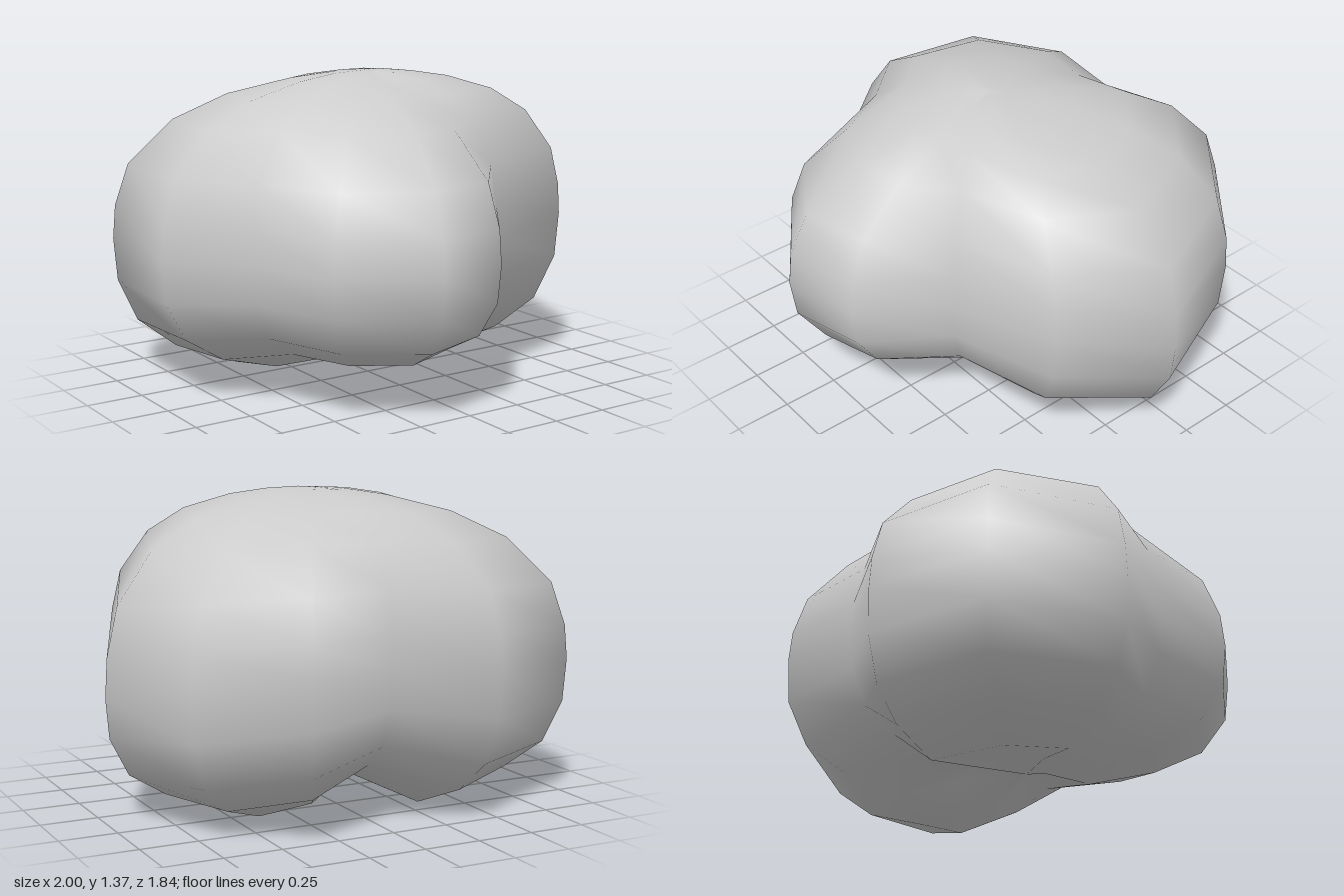
import * as THREE from 'three';

// Meridians round the body:
// outline x, outline z, height of widest point, underside height, top taper, underside taper
const MERIDIANS = [
  [1.0, -0.13, 0.53, 0.02, 1, 1],
  [0.8, 0.36, 0.7, 0.1, 0.85, 1.25],
  [0.33, 0.5, 0.66, 0.16, 0.9, 1.2],
  [0.08, 0.84, 0.64, 0.15, 1.65, 1.5],
  [-0.26, 0.92, 0.64, 0.125, 1.8, 1.5],
  [-0.61, 0.68, 0.64, 0.13, 1.5, 1.4],
  [-0.74, 0.28, 0.63, 0.14, 1.05, 1.2],
  [-1.0, -0.02, 0.62, 0.1, 1, 1],
  [-0.95, -0.6, 0.62, 0.05, 1.12, 0.85],
  [-0.43, -0.87, 0.65, 0.04, 1.07, 0.7],
  [0.03, -0.78, 0.68, 0.17, 1, 1],
  [0.45, -0.92, 0.69, 0.07, 1.08, 1],
  [0.82, -0.61, 0.62, 0, 1.07, 1],
];
// Rings as [fraction of outline radius, fraction of height from the widest ring]
const UPPER = [[0.17, 0.985], [0.34, 0.95], [0.58, 0.86], [0.78, 0.71], [0.94, 0.45], [0.99, 0.2]];
const LOWER = [[1, 0], [0.985, 0.33], [0.9, 0.65], [0.73, 0.86], [0.47, 1], [0.24, 0.93]];
const TOP = 1.365, DIMPLE = 0.16;

function lobedBody() {
  const n = MERIDIANS.length;
  const positions = [0.06, TOP, 0];
  for (const [f, h] of UPPER) {
    for (const [x, z, waist, , taper] of MERIDIANS) {
      const s = Math.pow(f, taper);
      positions.push(x * s, waist + (TOP - waist) * h, z * s);
    }
  }
  for (const [f, d] of LOWER) {
    for (const [x, z, waist, low, , taper] of MERIDIANS) {
      const s = Math.pow(f, taper);
      positions.push(x * s, waist - (waist - low) * d, z * s);
    }
  }
  positions.push(0.01, DIMPLE, 0.04);

  const rings = UPPER.length + LOWER.length;
  const last = 1 + rings * n;
  const at = (r, i) => 1 + r * n + (i % n);
  const index = [];
  for (let i = 0; i < n; i++) {
    index.push(0, at(0, i + 1), at(0, i));
    for (let r = 0; r < rings - 1; r++) {
      index.push(at(r, i), at(r, i + 1), at(r + 1, i));
      index.push(at(r, i + 1), at(r + 1, i + 1), at(r + 1, i));
    }
    index.push(at(rings - 1, i), at(rings - 1, i + 1), last);
  }
  const geometry = new THREE.BufferGeometry();
  geometry.setAttribute('position', new THREE.Float32BufferAttribute(positions, 3));
  geometry.setIndex(index);
  geometry.computeVertexNormals();
  return geometry;
}

export function createModel() {
  const group = new THREE.Group();
  group.name = 'lobedBoulder';
  const grey = new THREE.MeshStandardMaterial({ color: 0xcccccc });
  grey.name = 'light grey';
  const body = new THREE.Mesh(lobedBody(), grey);
  body.name = 'body';
  group.add(body);
  return group;
}
